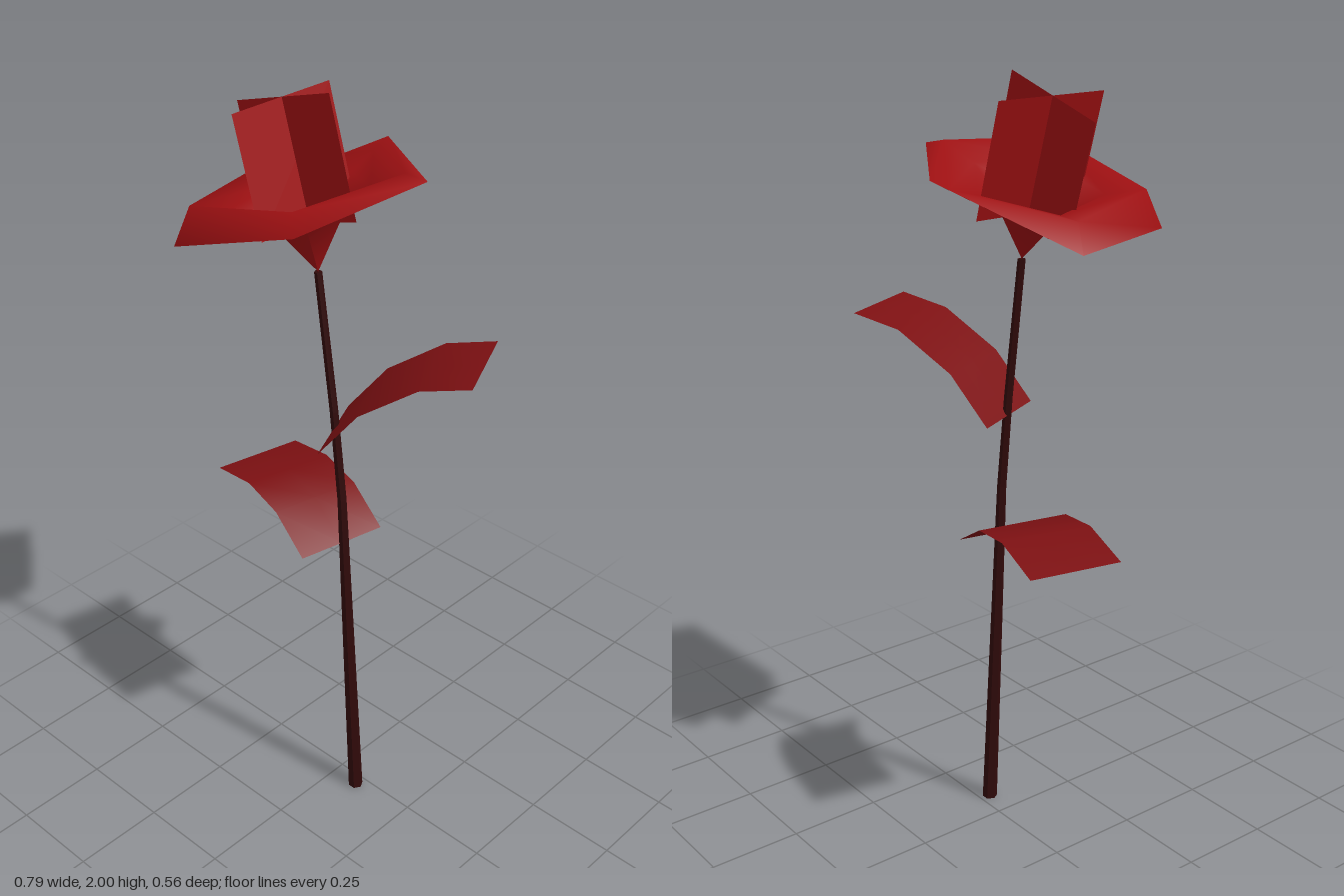
import * as THREE from 'three';

const V = (x, y, z) => new THREE.Vector3(x, y, z);

// Skin a surface over cross-sections; closed joins the last point to the first
function loft(rings, closed) {
  const n = rings[0].length, index = [];
  for (let i = 0; i < rings.length - 1; i++) {
    for (let j = 0; j < (closed ? n : n - 1); j++) {
      const k = (j + 1) % n, a = i * n, b = a + n;
      index.push(a + j, a + k, b + k, a + j, b + k, b + j);
    }
  }
  const geometry = new THREE.BufferGeometry().setFromPoints(rings.flat());
  geometry.setIndex(index);
  geometry.computeVertexNormals();
  return geometry;
}

function addMesh(parent, name, geometry, material) {
  const mesh = new THREE.Mesh(geometry, material);
  mesh.name = name;
  parent.add(mesh);
  return mesh;
}

// Leaf: flat strip of fixed half width, arched by [t, height] pairs
function leafGeometry(root, tip, half, arch) {
  return loft(arch.map(([t, y]) => {
    const x = THREE.MathUtils.lerp(root[0], tip[0], t);
    const z = THREE.MathUtils.lerp(root[1], tip[1], t);
    return [V(x - half[0], y, z - half[1]), V(x, y, z), V(x + half[0], y, z + half[1])];
  }), false);
}

export function createModel() {
  const rose = new THREE.Group();
  rose.name = 'rose';
  const petalMat = new THREE.MeshStandardMaterial({ color: 0x9c1012, side: THREE.DoubleSide });
  const leafMat = new THREE.MeshStandardMaterial({ color: 0x7c1012, side: THREE.DoubleSide });
  const stemMat = new THREE.MeshStandardMaterial({ color: 0x300a0a, flatShading: true });
  const axisZ = 0.03;

  // Stem: bent, tapering, capped at both ends (x, y, radius)
  const stemRings = [
    [0.08, 0, 0], [0.08, 0, 0.02], [0.052, 0.5, 0.016], [0.027, 0.95, 0.012],
    [0, 1.2, 0.011], [-0.05, 1.56, 0.01], [-0.05, 1.56, 0],
  ].map(([x, y, r]) => Array.from({ length: 6 }, (_, j) => {
    const a = j / 6 * Math.PI * 2;
    return V(x + r * Math.cos(a), y, axisZ - r * Math.sin(a));
  }));
  addMesh(rose, 'stem', loft(stemRings, true), stemMat);

  // Leaves
  addMesh(rose, 'upperLeaf', leafGeometry([0.003, 0.036], [0.342, -0.123], [0.0525, 0.1115],
    [[0, 1.15], [0.27, 1.275], [0.66, 1.37], [1, 1.397]]), leafMat);
  addMesh(rose, 'lowerLeaf', leafGeometry([0.032, 0.035], [-0.37, -0.055], [-0.025, 0.12],
    [[0, 0.82], [0.3, 0.893], [0.62, 0.91], [1, 0.875]]), leafMat);

  // Outer petals: five-cornered cup on a tilted axis with a drooping rim
  const center = V(-0.093, 1.734, 0.026);
  const rim = [
    V(0.185, 1.818, -0.08), V(-0.115, 1.79, -0.283), V(-0.385, 1.64, -0.065),
    V(-0.27, 1.638, 0.28), V(0.12, 1.778, 0.278),
  ];
  const cupRing = (scale, lift) => rim.map((p) => {
    const x = (p.x - center.x) * scale, z = (p.z - center.z) * scale;
    return V(center.x + x - lift * 0.25, center.y + 0.25 * x + lift, center.z + z);
  });
  const base = rim.map(() => V(-0.05, 1.56, axisZ));
  addMesh(rose, 'outerPetals', loft(
    [base, cupRing(0.28, -0.05), cupRing(0.55, 0.01), cupRing(0.85, 0.036), rim], true), petalMat);

  // Inner petals: two upright sheets crossing on the tilted axis
  const bud = new THREE.Group();
  bud.name = 'innerPetals';
  bud.position.set(-0.122, 1.815, axisZ - 0.004);
  bud.rotation.z = 0.29;
  for (const turn of [0, Math.PI / 2]) {
    const sheet = addMesh(bud, 'innerPetal', new THREE.PlaneGeometry(0.31, 0.293), petalMat);
    sheet.rotation.y = turn;
  }
  rose.add(bud);
  return rose;
}
